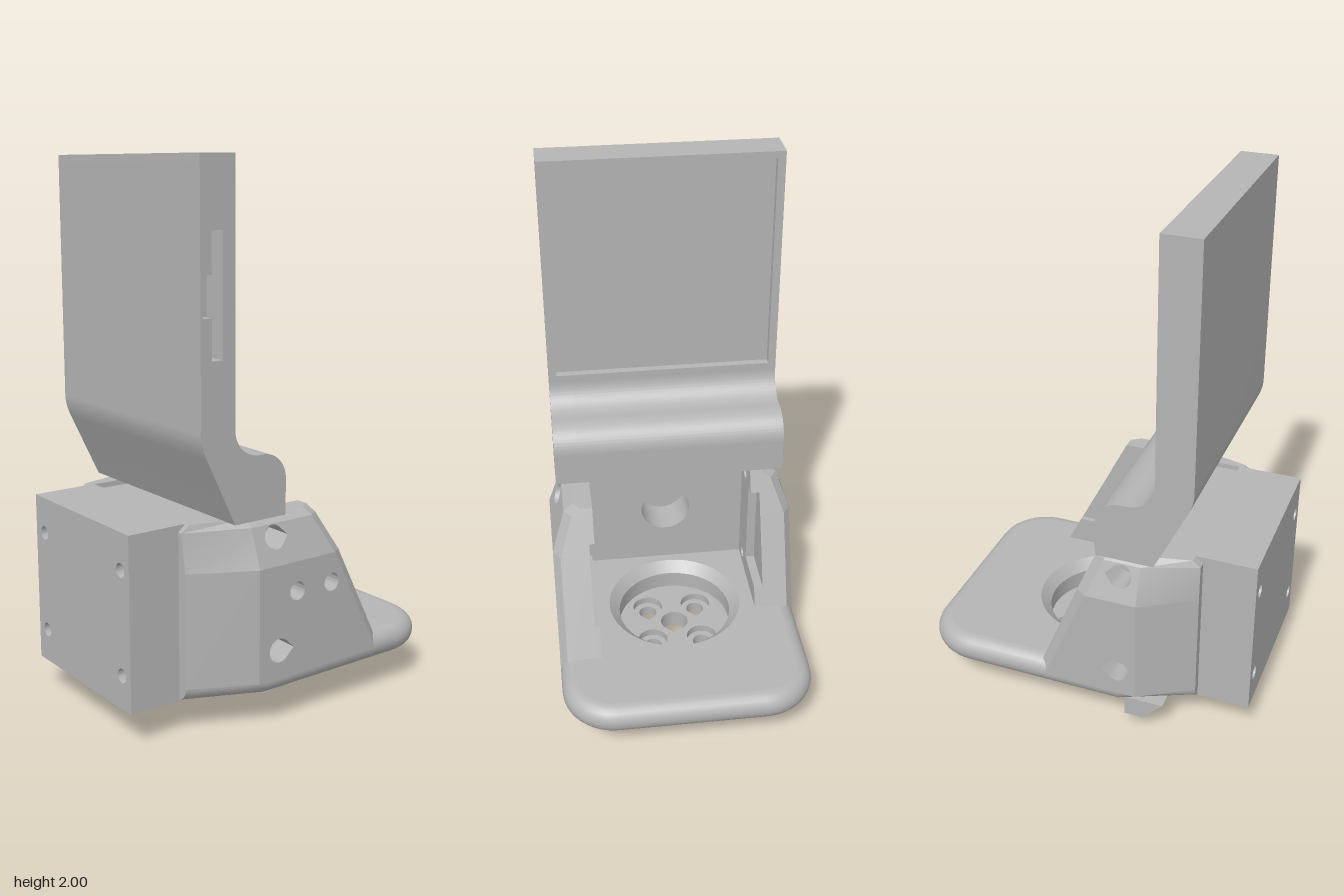
import * as THREE from 'three';
import { toCreasedNormals } from 'three/addons/utils/BufferGeometryUtils.js';

const grey = new THREE.MeshStandardMaterial({ color: 0xb4b4b4, side: THREE.DoubleSide });
grey.name = 'grey plastic';

const V = (x, y) => new THREE.Vector2(x, y);
const poly = (pts) => new THREE.Shape(pts.map(([x, y]) => V(x, y)));
const extrude = (shape, depth) =>
  new THREE.ExtrudeGeometry(shape, { depth, bevelEnabled: false, curveSegments: 32 });

function circle(x, y, r) {
  return new THREE.Path().absarc(x, y, r, 0, Math.PI * 2, true);
}
// Round hole with a pointed tip towards dir * x
function teardrop(x, y, r, dir = 1) {
  const pts = [V(x + dir * r * Math.SQRT2, y)];
  for (let i = 0; i <= 18; i++) {
    const a = Math.PI / 4 + (i / 18) * Math.PI * 1.5;
    pts.push(V(x + dir * r * Math.cos(a), y + r * Math.sin(a)));
  }
  return new THREE.Path(pts);
}
// Extrude upwards a shape drawn in (x, -z)
const slab = (shape, y0, y1) =>
  extrude(shape, y1 - y0).rotateX(-Math.PI / 2).translate(0, y0, 0);

export function createModel() {
  const model = new THREE.Group();
  const add = (name, geo, parent = model) => {
    const mesh = new THREE.Mesh(toCreasedNormals(geo, 0.5), grey);
    mesh.name = name;
    parent.add(mesh);
  };
  const group = (name) => {
    const g = new THREE.Group();
    g.name = name;
    model.add(g);
    return g;
  };

  // Screen holder: side profile in slices, the middle ones notched for the screen
  const screen = group('screenHolder');
  const holder = (recessed, slot) => {
    const s = new THREE.Shape();
    s.moveTo(-0.305, 0.77);
    s.lineTo(-0.085, 0.77);
    s.lineTo(-0.085, 0.9);
    s.absarc(-0.185, 0.9, 0.1, 0, Math.PI / 2, false);
    s.absarc(-0.205, 1.1, 0.1, -Math.PI / 2, -Math.PI, true);
    if (recessed) {
      [[-0.305, 1.13], [-0.335, 1.13], [-0.335, 1.975], [-0.305, 1.975]].forEach((p) => s.lineTo(...p));
    }
    s.lineTo(-0.305, 2);
    s.lineTo(-0.445, 2);
    s.lineTo(-0.445, 1.1);
    s.quadraticCurveTo(-0.445, 1.06, -0.42, 1.01);
    s.closePath();
    if (slot) {
      s.holes.push(poly([[-0.4, 1.34], [-0.355, 1.34], [-0.355, 1.76], [-0.4, 1.76],
        [-0.4, 1.62], [-0.435, 1.62], [-0.435, 1.48], [-0.4, 1.48]]));
    }
    return s;
  };
  const slices = [[-0.45, -0.42, false, false], [-0.42, 0.36, true, false],
    [0.36, 0.42, true, true], [0.42, 0.45, false, true]];
  for (const [z0, z1, recessed, slot] of slices) {
    add('screenFrame', extrude(holder(recessed, slot), z1 - z0).translate(0, 0, z0), screen);
  }

  // Base plate: rounded outline swept over a round edge
  const base = group('basePlate');
  const outline = (d) => {
    const pts = [[-0.45, 0.36 - d], [-0.27, 0.44 - d], [-0.18, 0.48 - d]];
    const r = 0.2 - d;
    for (let i = 0; i <= 12; i++) {
      const a = Math.PI / 2 * (1 - i / 12);
      pts.push([0.45 + r * Math.cos(a), 0.28 + r * Math.sin(a)]);
    }
    return pts.concat(pts.map(([x, z]) => [x, -z]).reverse());
  };
  const R = 0.0575, pos = [], idx = [], LEVELS = 12;
  const n = outline(0).length;
  for (let j = 0; j <= LEVELS; j++) {
    const a = -Math.PI / 2 + (j / LEVELS) * Math.PI;
    for (const [x, z] of outline(R * (1 - Math.cos(a)))) pos.push(x, 0.1825 + R * Math.sin(a), z);
    if (j === LEVELS) break;
    for (let i = 0; i < n; i++) {
      const p = j * n + i, q = j * n + (i + 1) % n;
      idx.push(p, q, p + n, q, q + n, p + n);
    }
  }
  const rim = new THREE.BufferGeometry();
  rim.setAttribute('position', new THREE.Float32BufferAttribute(pos, 3));
  rim.setIndex(idx);
  add('plateEdge', rim, base);
  const face = (holeR) => {
    const s = poly(outline(R).map(([x, z]) => [x, -z]));
    s.holes.push(circle(0.05, 0, holeR));
    return new THREE.ShapeGeometry(s, 32);
  };
  add('plateTop', face(0.265).rotateX(-Math.PI / 2).translate(0, 0.24, 0), base);
  add('plateBottom', face(0.22).rotateX(Math.PI / 2).translate(0, 0.125, 0), base);
  add('recessWall', new THREE.LatheGeometry([V(0.265, 0.24), V(0.225, 0.2), V(0.225, 0.125)], 64)
    .translate(0.05, 0, 0), base);

  // Mounting floor with five holes, the outer four counterbored
  const floor = (r) => {
    const s = new THREE.Shape().absarc(0.05, 0, 0.23, 0, Math.PI * 2, false);
    s.holes.push(teardrop(0.05, 0, 0.055));
    for (const x of [-0.05, 0.15]) for (const z of [-0.1, 0.1]) s.holes.push(teardrop(x, z, r));
    return s;
  };
  add('mountFloor', slab(floor(0.036), 0.06, 0.1), base);
  add('mountFloor', slab(floor(0.06), 0.1, 0.13), base);

  // Collar under the plate, cut away towards the back of the base
  const collar = (cut) => {
    const a = Math.acos((cut - 0.045) / 0.24);
    const s = new THREE.Shape().absarc(0.045, 0, 0.24, -a, a, false);
    s.absarc(0.045, 0, 0.2, a, -a, true);
    s.closePath();
    return s;
  };
  add('mountCollar', slab(collar(-0.17), 0.025, 0.13), base);
  add('mountCollar', slab(collar(-0.02), 0, 0.025), base);
  add('cableWedge', extrude(poly([[-0.35, 0.14], [-0.27, 0.06], [-0.2, 0.06], [-0.2, 0.14]]), 0.13)
    .translate(0, 0, -0.45), base);

  // Side walls: prisms in bands and columns, outer face moved by a rule
  function sideWall(name, side, w) {
    const g = group(name);
    const front = (y) => w.top + (0.765 - y) * w.slope;
    const outer = (x, y) => 0.48 - 0.36 * Math.max(0, y - 0.6) - 1.1 * Math.max(0, y - 0.74)
      - 0.12 * Math.max(0, w.split - x) / (w.split + 0.45)
      - 0.7 * Math.max(0, x - front(y) + 0.04);
    const mid = 0.32 + w.pocket;
    const place = (geo) => (side < 0 ? geo.rotateY(Math.PI) : geo);
    const back = (y) => (y > 0.75 ? -0.42 : -0.45);
    const columns = [back, () => w.split, (y) => front(y) - 0.04, front];
    const bands = [0.18, 0.6, 0.74, 0.765];
    for (let b = 0; b < 3; b++) {
      for (let c = 0; c < 3; c++) {
        const y0 = bands[b], y1 = bands[b + 1], l = columns[c], r = columns[c + 1];
        const s = poly([[l(y0), y0], [r(y0), y0], [r(y1), y1], [l(y1), y1]].map(([x, y]) => [side * x, y]));
        if (c === 1 && b === 0) {
          s.holes.push(teardrop(side * w.screwX, 0.285, 0.045, side));
          for (const x of w.holes) s.holes.push(circle(side * x, 0.49, 0.034));
        }
        if (c === 1 && b === 1) s.holes.push(teardrop(side * w.screwX, 0.695, 0.042, side));
        const geo = extrude(s, 1);
        const p = geo.attributes.position;
        for (let i = 0; i < p.count; i++) {
          p.setZ(i, p.getZ(i) < 0.5 ? mid : Math.max(mid, outer(side * p.getX(i), p.getY(i))));
        }
        add('wallPanel', place(geo), g);
      }
    }
    // Inner layer with a pocket open to the sloping front edge
    const inner = poly([[-0.45, 0.18], [front(0.18), 0.18], [front(w.y0), w.y0], [w.pocketX, w.y0],
      [w.pocketX, w.y1], [front(w.y1), w.y1], [front(0.765), 0.765], [-0.42, 0.765], [-0.45, 0.74]]
      .map(([x, y]) => [side * x, y]));
    for (const y of [0.285, 0.695]) inner.holes.push(teardrop(side * w.screwX, y, 0.024, side));
    add('wallLining', place(extrude(inner, w.pocket).translate(0, 0, 0.32)), g);
  }
  sideWall('frontWall', 1, { top: 0.08, slope: 0.505, split: -0.22, screwX: -0.13, holes: [-0.05, 0.11],
    pocket: 0.02, pocketX: -0.15, y0: 0.35, y1: 0.64 });
  sideWall('backWall', -1, { top: -0.08, slope: 0.4, split: -0.25, screwX: -0.18, holes: [],
    pocket: 0.035, pocketX: -0.1, y0: 0.32, y1: 0.685 });

  // Rear housing: layers along x, with screw holes behind and a cable hole in front
  const housing = group('rearHousing');
  const layer = (x0, x1, top, holes) => {
    const s = poly([[-0.32, 0.125], [0.325, 0.125], [0.325, top], [-0.32, top]]);
    s.holes.push(...holes);
    return extrude(s, x1 - x0).rotateY(Math.PI / 2).translate(x0, 0, 0);
  };
  const screws = [];
  for (const z of [-0.265, 0.265]) for (const y of [0.25, 0.63]) screws.push(circle(z, y, 0.026));
  add('housingBack', layer(-0.65, -0.55, 0.765, screws), housing);
  add('housingBody', layer(-0.55, -0.4, 0.765, []), housing);
  add('housingFront', layer(-0.4, -0.25, 0.745, [circle(0, 0.49, 0.1)]), housing);

  return model;
}
